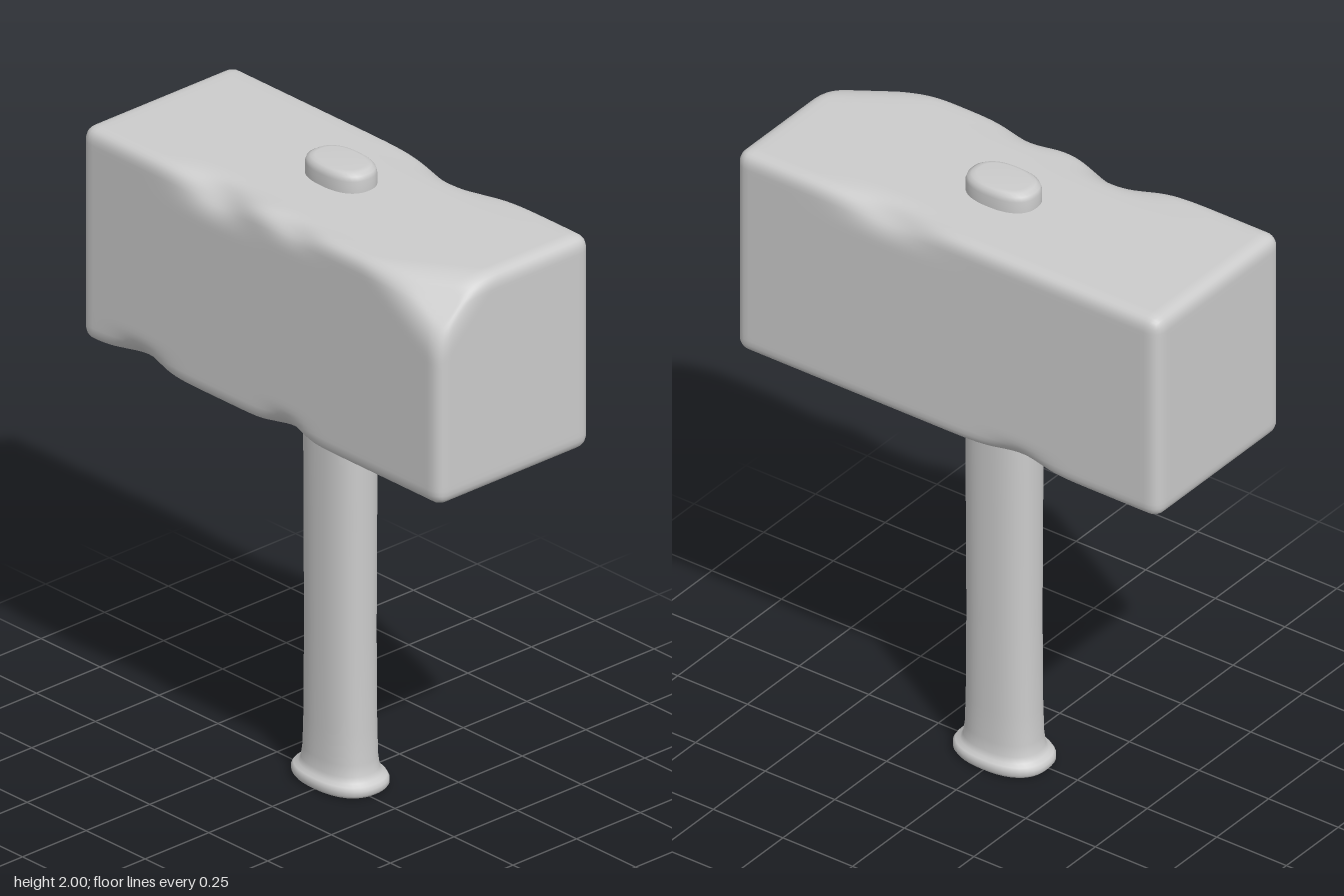
import * as THREE from 'three';
import { mergeVertices } from 'three/addons/utils/BufferGeometryUtils.js';

const material = new THREE.MeshStandardMaterial({ color: 0xcccccc });

function smooth(geometry) {
  geometry.deleteAttribute('uv');
  geometry.deleteAttribute('normal');
  const merged = mergeVertices(geometry, 1e-4);
  merged.computeVertexNormals();
  return merged;
}

// Soft planar cut: pushes p behind the plane n.p = c, blended over width k
function shave(p, n, c, k, weight = 1) {
  const d = p.dot(n) - c;
  if (d <= -k) return;
  const amount = d < k ? (d + k) ** 2 / (4 * k) : d;
  p.addScaledVector(n, -amount * weight);
}

// Worn stone block: rounded box with one broken corner and small edge dents
function headGeometry() {
  const half = new THREE.Vector3(0.76, 0.343, 0.3);
  const r = 0.04;
  const inner = half.clone().subScalar(r);
  const geometry = new THREE.BoxGeometry(half.x * 2, half.y * 2, half.z * 2, 90, 42, 36);

  // Corner break, set by how far it reaches along each edge
  const reach = new THREE.Vector3(0.27, 0.17, 0.18);
  const chip = new THREE.Vector3(1 / reach.x, 1 / reach.y, 1 / reach.z).normalize();
  const chipC = chip.dot(half) - chip.x * reach.x;

  // Edge dents: [centre x, spread, y direction, z direction, depth]
  const dents = [
    [-0.2, 0.13, 1, 1, 0.045],
    [0.12, 0.1, 1, 1, 0.02],
    [-0.52, 0.1, -1, 1, 0.03],
    [0.1, 0.08, -1, 1, 0.025],
    [0.22, 0.15, 1, -1, 0.035],
    [-0.25, 0.1, -1, -1, 0.02],
  ];

  const pos = geometry.attributes.position;
  const p = new THREE.Vector3(), core = new THREE.Vector3(), n = new THREE.Vector3();
  for (let i = 0; i < pos.count; i++) {
    p.fromBufferAttribute(pos, i);
    core.copy(p).clamp(inner.clone().negate(), inner);
    p.sub(core).setLength(r).add(core);
    for (const [x, spread, sy, sz, depth] of dents) {
      n.set(0, sy, sz).normalize();
      const weight = Math.exp(-(((p.x - x) / spread) ** 2));
      shave(p, n, (half.y + half.z) * Math.SQRT1_2 - 0.017 - depth, 0.03, weight);
    }
    shave(p, chip, chipC, 0.05);
    pos.setXYZ(i, p.x, p.y, p.z);
  }
  return smooth(geometry);
}

// Turned profile [radius, y] flattened to a stadium-like oval
function ovalGeometry(profile, depthRatio) {
  const geometry = new THREE.LatheGeometry(profile.map(([x, y]) => new THREE.Vector2(x, y)), 40);
  const pos = geometry.attributes.position;
  for (let i = 0; i < pos.count; i++) {
    const x = pos.getX(i), z = pos.getZ(i);
    const radius = Math.hypot(x, z);
    if (radius < 1e-6) continue;
    const c = Math.abs(x / radius), s = Math.abs(z / radius);
    const swell = (c ** 2.4 + s ** 2.4) ** (-1 / 2.4);
    pos.setX(i, x * swell);
    pos.setZ(i, z * swell * depthRatio);
  }
  return smooth(geometry);
}

export function createModel() {
  const group = new THREE.Group();
  const add = (name, geometry, y, z) => {
    const mesh = new THREE.Mesh(geometry, material);
    mesh.name = name;
    mesh.position.set(0, y, z);
    group.add(mesh);
  };

  add('head', headGeometry(), 1.595, 0);

  // Shaft with flared pommel
  add('handle', ovalGeometry([
    [0, 0.005], [0.14, 0.005], [0.15, 0.009], [0.157, 0.018], [0.157, 0.032], [0.15, 0.042],
    [0.135, 0.048], [0.126, 0.065], [0.121, 0.1], [0.118, 0.2], [0.116, 0.5],
    [0.118, 0.9], [0.119, 1.3],
  ], 0.71), 0, -0.017);

  // Shaft end showing above the head
  add('handleTip', ovalGeometry([
    [0.117, 1.88], [0.118, 1.94], [0.118, 1.975], [0.113, 1.989], [0.1, 1.997], [0.085, 2], [0, 2],
  ], 0.67), 0, -0.02);

  return group;
}
